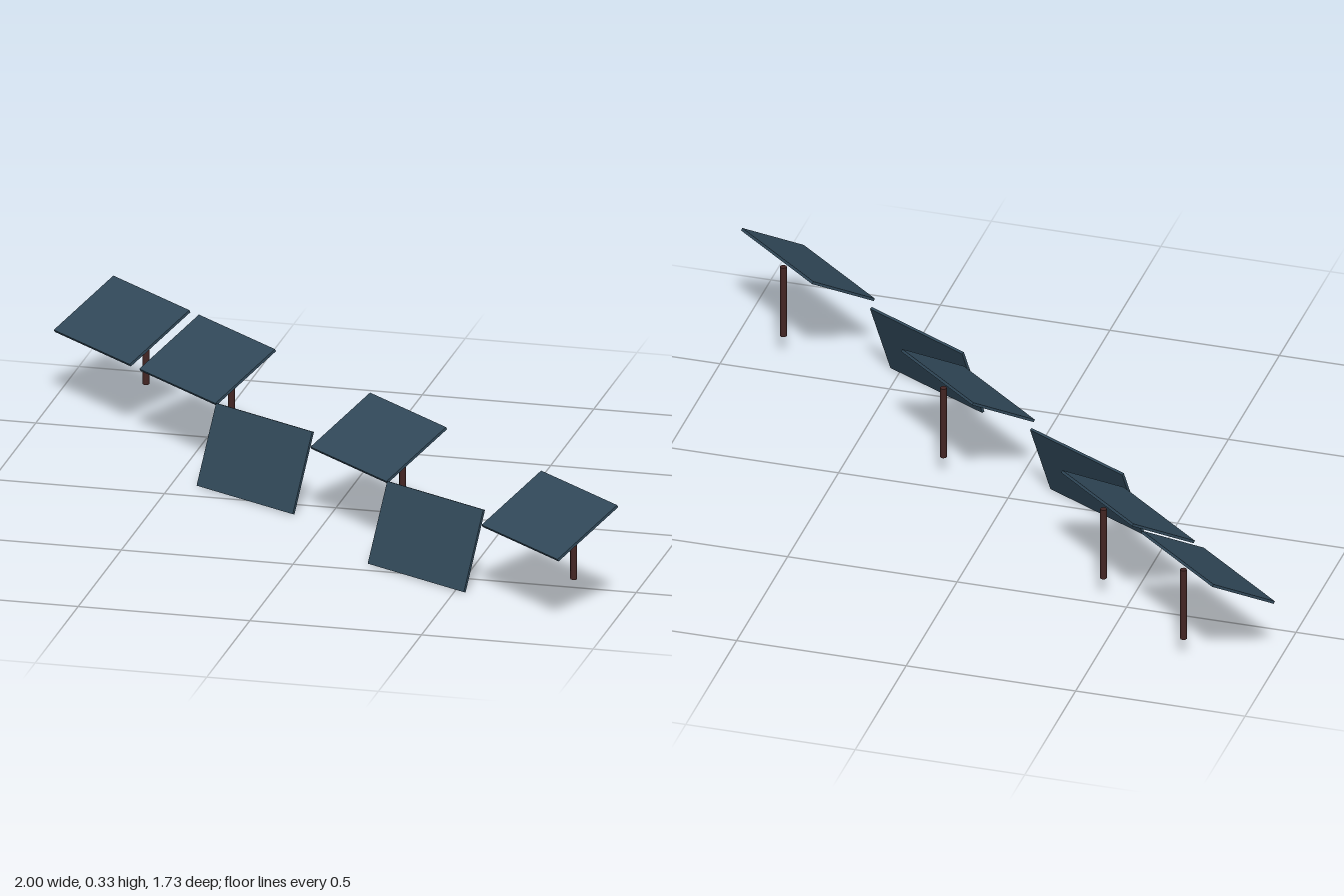
import * as THREE from 'three';

const rad = THREE.MathUtils.degToRad;

export function createModel() {
  const model = new THREE.Group();
  model.name = 'solarPanelRow';

  const slate = new THREE.MeshStandardMaterial({ color: 0x31495a });
  slate.name = 'slate blue';
  const rust = new THREE.MeshStandardMaterial({ color: 0x452624 });
  rust.name = 'dark rust';

  const panelGeometry = new THREE.BoxGeometry(0.366, 0.008, 0.24);
  const postGeometry = new THREE.CylinderGeometry(0.01, 0.01, 0.224, 8);

  // Panel with its long edge level, turned by yaw and leaning back by tilt
  function addUnit(name, x, y, z, yaw, tilt) {
    const unit = new THREE.Group();
    unit.name = name;
    unit.position.set(x, y, z);
    unit.rotation.y = rad(yaw);
    const panel = new THREE.Mesh(panelGeometry, slate);
    panel.name = 'panel';
    panel.rotation.x = rad(tilt);
    unit.add(panel);
    model.add(unit);
    return unit;
  }

  // Six evenly spaced places along a diagonal; two panels have fallen
  for (let i = 0; i < 6; i++) {
    const x = -0.79 + i * 0.316;
    const z = -0.665 + i * 0.266;
    if (i === 2 || i === 4) {
      addUnit('fallenPanel', x - 0.086, 0.114, z + 0.098, -28, 70);
      continue;
    }
    const unit = addUnit('standingPanel', x, 0.267, z, -40, 30);
    // Post under the raised edge
    const post = new THREE.Mesh(postGeometry, rust);
    post.name = 'post';
    post.position.set(0, -0.093, -0.083);
    unit.add(post);
  }
  return model;
}
